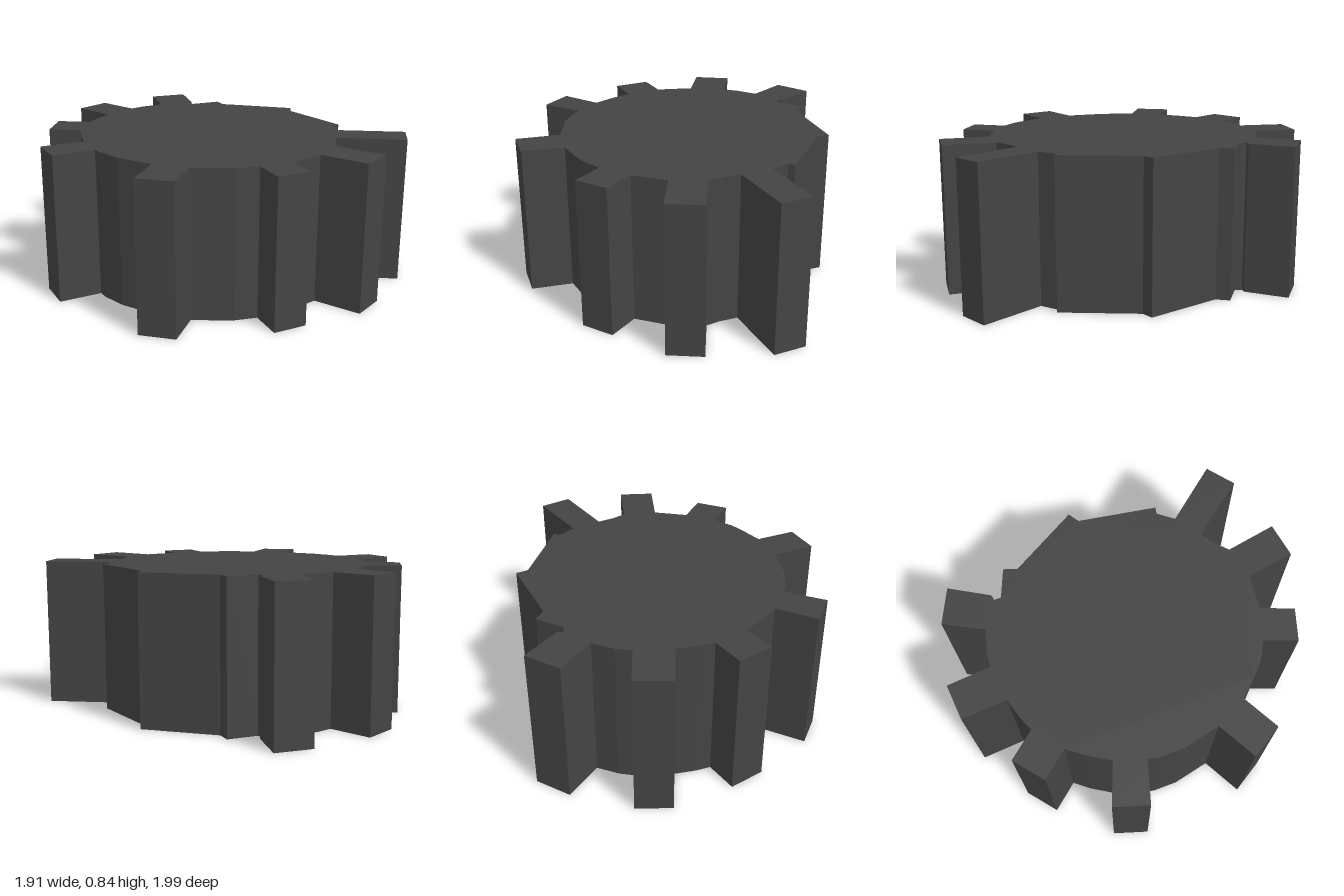
import * as THREE from 'three';

const HEIGHT = 0.84;
const material = new THREE.MeshStandardMaterial({ color: 0x444444 });

// Each tooth as seen from above in [x, z]: base, tip, tip, base;
// "rim" holds the hub points leading on to the next tooth.
const TEETH = [
  { corners: [[0.33, -0.71], [0.41, -0.95], [0.20, -1.0], [0.13, -0.76]], rim: [[0, -0.77]] },
  { corners: [[-0.09, -0.76], [-0.16, -1.0], [-0.36, -0.94], [-0.29, -0.69]], rim: [[-0.40, -0.63]] },
  { corners: [[-0.47, -0.58], [-0.62, -0.70], [-0.75, -0.54], [-0.60, -0.42]], rim: [[-0.65, -0.32]] },
  { corners: [[-0.70, -0.18], [-0.94, -0.22], [-0.96, -0.02], [-0.72, 0]], rim: [[-0.72, 0.06], [-0.69, 0.20]] },
  { corners: [[-0.60, 0.40], [-0.79, 0.56], [-0.65, 0.71], [-0.47, 0.56]], rim: [[-0.36, 0.64], [-0.28, 0.69]] },
  { corners: [[-0.16, 0.73], [-0.19, 0.92], [0, 0.94], [0.03, 0.75]], rim: [] },
  { corners: [[0.23, 0.73], [0.33, 0.99], [0.52, 0.92], [0.41, 0.65]], rim: [[0.46, 0.58]] },
  // the last tooth is followed by the wide flat facets of the hub
  {
    corners: [[0.53, 0.51], [0.83, 0.76], [0.95, 0.62], [0.65, 0.38]],
    rim: [[0.70, 0.28], [0.74, 0.28], [0.72, -0.17], [0.77, -0.22], [0.47, -0.55], [0.48, -0.63], [0.31, -0.66], [0.30, -0.70]],
  },
];

// Upright prism standing on y = 0 from an outline in [x, z]
function prism(name, outline) {
  const shape = new THREE.Shape(outline.map(([x, z]) => new THREE.Vector2(x, z)));
  const geometry = new THREE.ExtrudeGeometry(shape, { depth: HEIGHT, bevelEnabled: false });
  geometry.rotateX(Math.PI / 2);
  geometry.translate(0, HEIGHT, 0);
  const mesh = new THREE.Mesh(geometry, material);
  mesh.name = name;
  return mesh;
}

export function createModel() {
  const gear = new THREE.Group();
  gear.name = 'gear';

  // Hub: joins the tooth bases and the rim between them
  const hub = TEETH.flatMap(({ corners, rim }) => [corners[0], corners[3], ...rim]);
  gear.add(prism('hub', hub));

  // Irregular teeth around the hub
  TEETH.forEach(({ corners }, i) => gear.add(prism(`tooth${i + 1}`, corners)));

  return gear;
}
